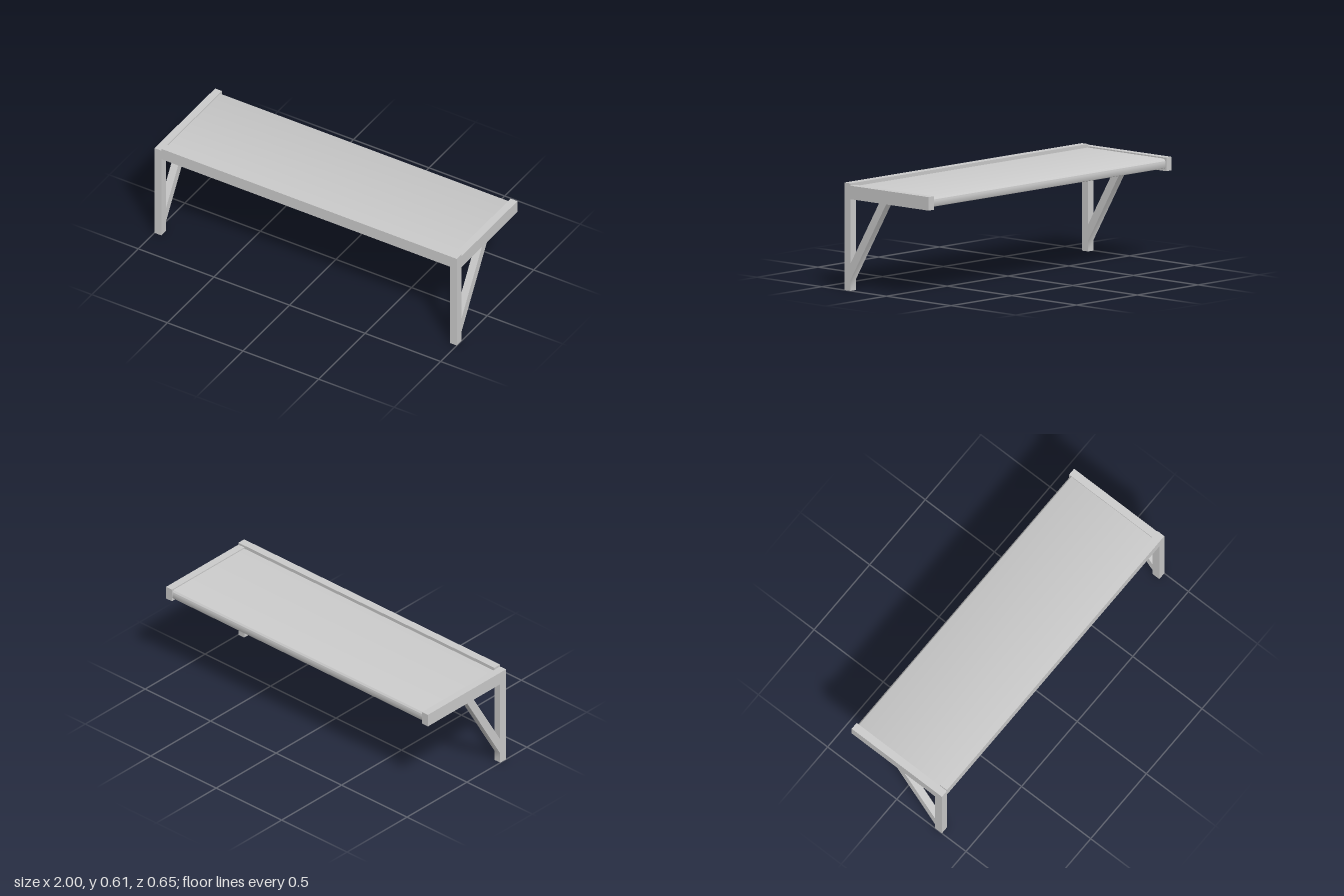
import * as THREE from 'three';
import { toCreasedNormals } from 'three/addons/utils/BufferGeometryUtils.js';

const FRONT = 0.326, LEG_BACK = 0.278, POST = 0.045;
const material = new THREE.MeshStandardMaterial({ color: 0xcccccc });

// Extrude a (z, y) outline along x, from x0 to x1.
function extrudeAlongX(shape, x0, x1) {
  const geometry = new THREE.ExtrudeGeometry(shape, { depth: x1 - x0, bevelEnabled: false, curveSegments: 10 });
  geometry.rotateY(-Math.PI / 2);
  geometry.translate(x1, 0, 0);
  return toCreasedNormals(geometry, 0.6);
}

const points = (list) => list.map(([z, y]) => new THREE.Vector2(z, y));

// Leg, arm and diagonal brace as one outline with a triangular opening
function bracketShape() {
  const shape = new THREE.Shape(points([
    [FRONT, 0], [FRONT, 0.6], [-FRONT, 0.6], [-FRONT, 0.523],
    [0.002, 0.523], [LEG_BACK, 0.062], [LEG_BACK, 0],
  ]));
  shape.holes.push(new THREE.Path(points([[LEG_BACK, 0.155], [0.057, 0.523], [LEG_BACK, 0.523]])));
  return shape;
}

// Shelf board section with a rounded back edge
function boardShape() {
  const top = 0.593, bottom = 0.538, back = -0.32, r = 0.02, s = 0.006;
  const shape = new THREE.Shape();
  shape.moveTo(LEG_BACK, bottom);
  shape.lineTo(LEG_BACK, top);
  shape.lineTo(back + r, top);
  shape.absarc(back + r, top - r, r, Math.PI / 2, Math.PI, false);
  shape.lineTo(back, bottom + s);
  shape.absarc(back + s, bottom + s, s, Math.PI, Math.PI * 1.5, false);
  shape.closePath();
  return shape;
}

export function createModel() {
  const group = new THREE.Group();
  const add = (name, geometry) => {
    const mesh = new THREE.Mesh(geometry, material);
    mesh.name = name;
    group.add(mesh);
  };

  // Side brackets
  add('leftBracket', extrudeAlongX(bracketShape(), 1 - POST, 1));
  add('rightBracket', extrudeAlongX(bracketShape(), -1, -1 + POST));

  // Board between the arms
  add('shelfBoard', extrudeAlongX(boardShape(), -1 + POST, 1 - POST));

  // Front rail, standing proud of the arms and running over the left leg
  const rail = new THREE.BoxGeometry(2 - POST, 0.073, FRONT - LEG_BACK);
  rail.translate(POST / 2, 0.5765, (FRONT + LEG_BACK) / 2);
  add('frontRail', rail);

  return group;
}
